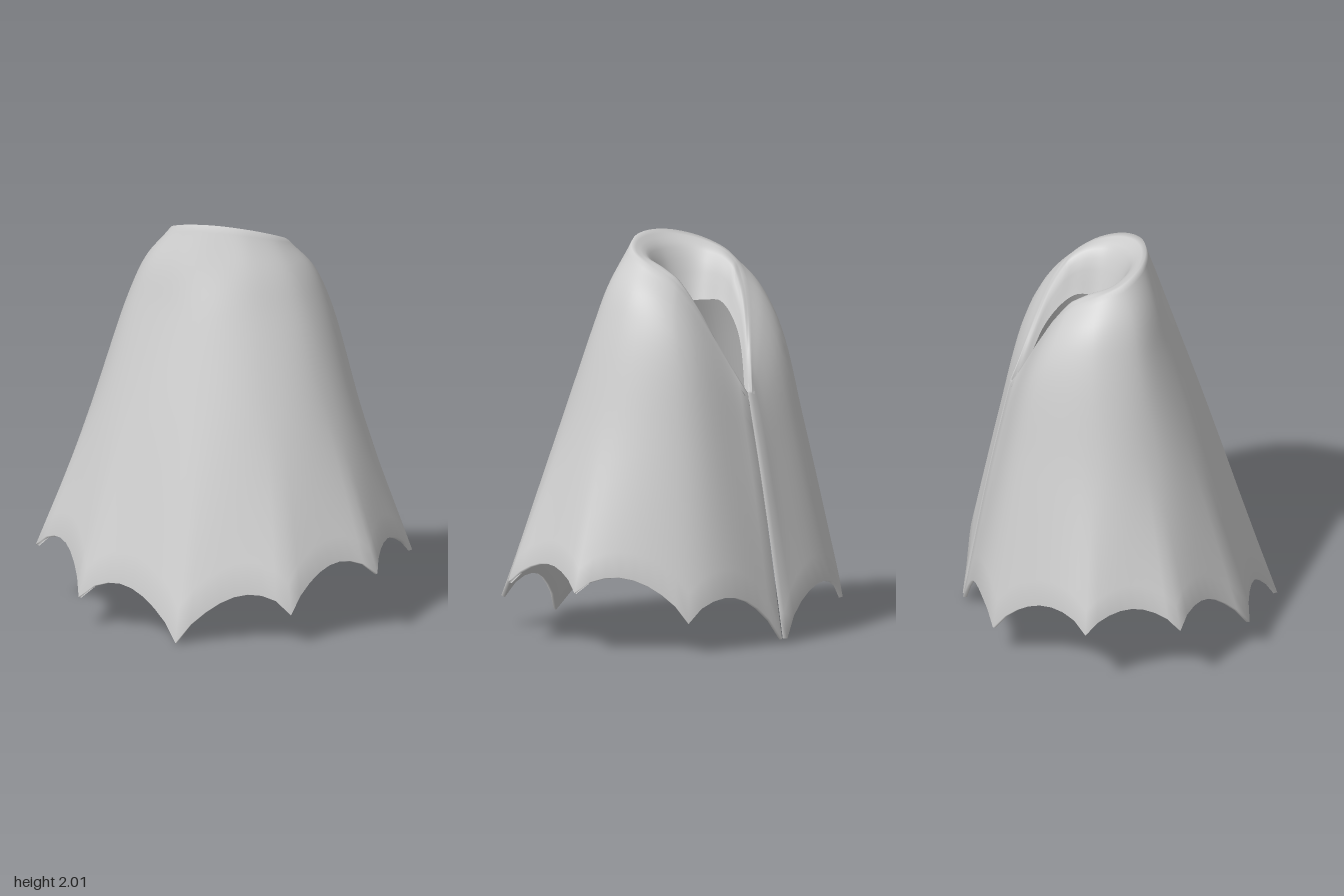
import * as THREE from 'three';

const V = (p) => new THREE.Vector3(...p);

// Rings from neck to hem; each lists points from the front middle round to the back seam
const lipRing = [[0, 1.64, -0.03], [0.08, 1.65, -0.06], [0.125, 1.66, -0.12], [0.14, 1.66, -0.22], [0.115, 1.53, -0.36], [0.006, 1.17, -0.52]];
const ridgeRing = [[0, 2, 0.13], [0.15, 1.985, 0.1], [0.27, 1.94, 0], [0.3, 1.88, -0.14], [0.24, 1.78, -0.29], [0.017, 1.25, -0.55]];
const shoulderRing = [[0, 1.78, 0.2], [0.22, 1.78, 0.165], [0.38, 1.77, 0.05], [0.42, 1.76, -0.15], [0.32, 1.68, -0.35], [0.017, 1.18, -0.566]];
const chestRing = [[0, 1.55, 0.28], [0.28, 1.55, 0.22], [0.47, 1.55, 0.08], [0.51, 1.57, -0.16], [0.38, 1.5, -0.42], [0.017, 1.07, -0.59]];
const waistRing = [[0, 1, 0.46], [0.4, 1, 0.37], [0.64, 1, 0.15], [0.68, 1, -0.17], [0.43, 1, -0.53], [0.018, 0.75, -0.658]];
const tipRing = [[0, 0, 0.79], [0.56, 0.15, 0.63], [0.9, 0.3, 0.27], [0.93, 0.3, -0.21], [0.57, 0.15, -0.66], [0.02, 0.02, -0.79]];

// Height of each hem arch, and how far the cloth sinks inward between its tips
const arches = [0.17, 0.13, 0.1, 0.13, 0.17];
const sinks = [0.03, 0.04, 0.045, 0.03, -0.03];

// Mirror a half ring into a smooth curve: back seam, right side, front, left side, back seam
function ringCurve(half) {
  const right = half.slice(1).reverse().map(([x, y, z]) => V([-x, y, z]));
  return new THREE.CatmullRomCurve3([...right, ...half.map(V)]);
}

// Skin a list of rows of points
function skin(rows) {
  const n = rows[0].length, index = [];
  for (let i = 0; i < rows.length - 1; i++) {
    for (let j = 0; j < n - 1; j++) {
      const a = i * n + j, b = a + n;
      index.push(a, b, b + 1, a, b + 1, a + 1);
    }
  }
  const g = new THREE.BufferGeometry().setFromPoints(rows.flat());
  g.setIndex(index);
  g.computeVertexNormals();
  return g;
}

export function createModel() {
  const group = new THREE.Group();
  const cloth = new THREE.MeshStandardMaterial({ color: 0xcccccc, side: THREE.DoubleSide });
  cloth.name = 'grey cloth';

  const lip = ringCurve(lipRing);
  const rings = [ridgeRing, shoulderRing, chestRing, waistRing, tipRing].map(ringCurve);
  const perPanel = 8, collarSteps = 8, bodySteps = 24, thickness = 0.02;
  const columns = [];

  for (let j = 0; j <= 10 * perPanel; j++) {
    const s = j / (10 * perPanel);
    const u = Math.abs(s * 10 - 5);
    const panel = Math.min(4, Math.floor(u));
    const arch = Math.max(0, Math.sin(Math.PI * (u - panel)));
    const keys = rings.map((c) => c.getPoint(s));
    const tip = keys[4];
    tip.addScaledVector(new THREE.Vector3(-tip.x, 0, -tip.z).normalize(), sinks[panel] * arch);
    const column = [];

    // turned-in collar, rolling over from the inner lip to the ridge
    const inner = lip.getPoint(s);
    const mid = inner.clone().lerp(keys[0], 0.5);
    mid.y += 0.09 * Math.min(1, (5 - u) / 1.5);
    const collar = new THREE.CatmullRomCurve3([inner, mid, keys[0]]);
    for (let i = 0; i < collarSteps; i++) column.push(collar.getPoint(i / collarSteps));

    // falling cloth, cut short between the hem tips to form scallops
    const lift = arches[panel] * Math.pow(arch, 0.7);
    const end = 1 - lift / (keys[3].y - tip.y) / 4;
    const fall = new THREE.CatmullRomCurve3(keys);
    for (let i = 0; i <= bodySteps; i++) column.push(fall.getPoint(end * i / bodySteps));
    columns.push(column);
  }

  const outside = columns[0].map((_, i) => columns.map((c) => c[i]));

  // lining: the same cloth set inward along its normals
  const normals = skin(outside).getAttribute('normal');
  const width = columns.length;
  const inside = outside.map((row, i) => row.map((p, j) => {
    const n = new THREE.Vector3().fromBufferAttribute(normals, i * width + j);
    return p.clone().addScaledVector(n, -thickness);
  }));

  // both layers meet in a rolled edge along the back opening
  const roll = (p, side) => V([side * Math.min(Math.abs(p.x), 0.004), p.y, p.z + 0.018]);
  const closeSeam = (rows) => rows.map((row, i) => [
    roll(outside[i][0], -1), ...row, roll(outside[i][width - 1], 1),
  ]);
  const shell = [...closeSeam(outside), ...closeSeam(inside).reverse()];

  const cloak = new THREE.Mesh(skin(shell), cloth);
  cloak.name = 'cloak';
  group.add(cloak);
  return group;
}
